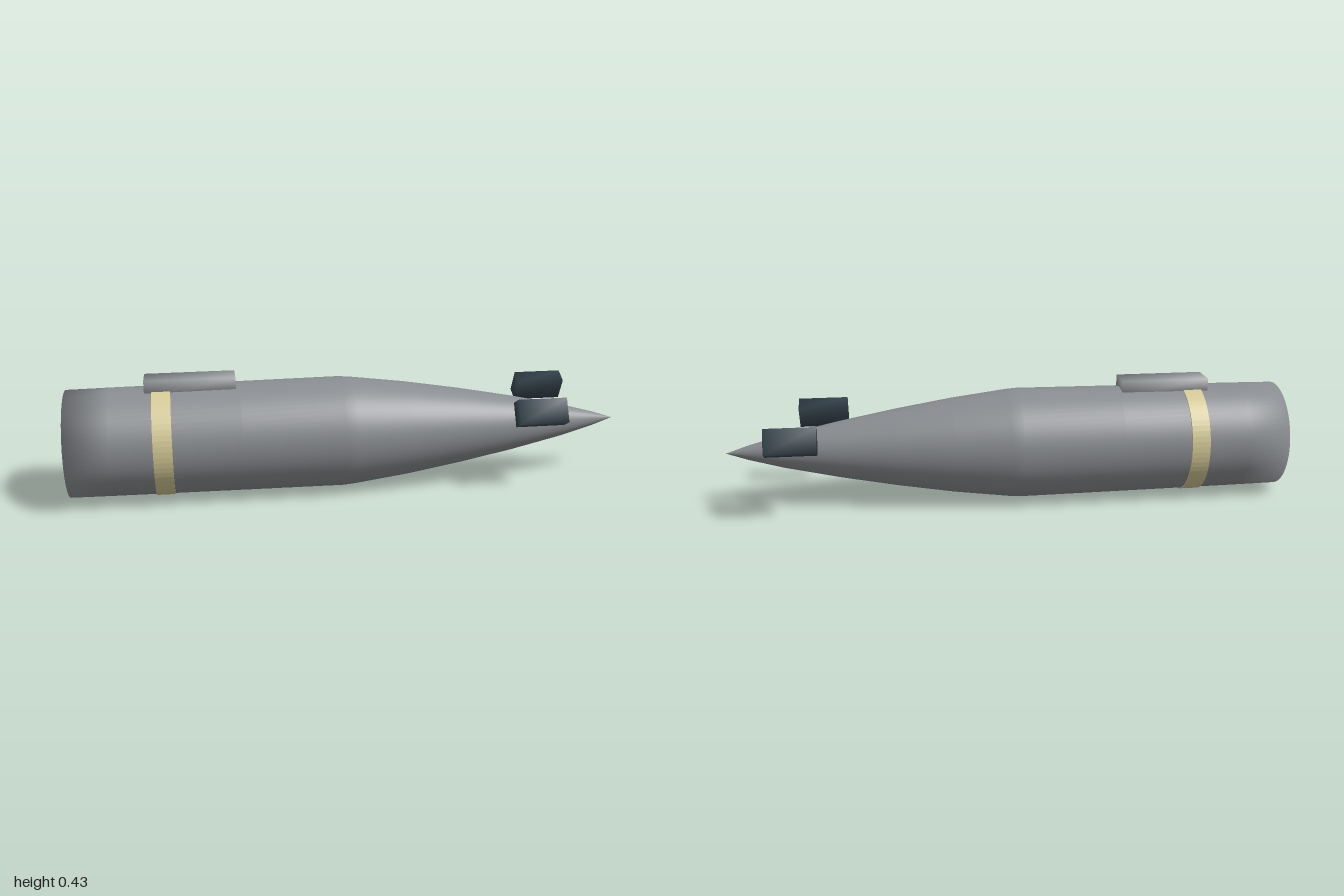
import * as THREE from 'three';
import { mergeVertices } from 'three/addons/utils/BufferGeometryUtils.js';

const AXIS_Y = 0.201;

// Box with normals shared across its edges, for soft shading
function softBox(w, h, d) {
  let g = new THREE.BoxGeometry(w, h, d);
  g.deleteAttribute('normal');
  g.deleteAttribute('uv');
  g = mergeVertices(g);
  g.computeVertexNormals();
  return g;
}

// Lathe whose axis lies along +x; profile pairs are [x, radius]
function turned(profile, segments) {
  const pts = profile.map(([x, r]) => new THREE.Vector2(r, x));
  return new THREE.LatheGeometry(pts, segments).rotateZ(-Math.PI / 2);
}

export function createModel() {
  const group = new THREE.Group();
  const grey = new THREE.MeshStandardMaterial({ color: 0x8b8e92 });
  grey.name = 'bodyGrey';
  const cream = new THREE.MeshStandardMaterial({ color: 0xd6cb98 });
  cream.name = 'bandCream';
  const slate = new THREE.MeshStandardMaterial({ color: 0x35434d });
  slate.name = 'finSlate';

  const add = (name, geometry, material, x, y, z) => {
    const mesh = new THREE.Mesh(geometry, material);
    mesh.name = name;
    mesh.position.set(x, y, z);
    group.add(mesh);
    return mesh;
  };

  // Slightly flared casing with a curved, pointed nose
  add('casing', turned([
    [-1, 0], [-1, 0.189], [-0.85, 0.191], [-0.4, 0.195], [-0.04, 0.198],
    [0, 0.195], [0.2, 0.17], [0.4, 0.138], [0.6, 0.101], [0.8, 0.058],
    [0.92, 0.026], [1, 0],
  ], 64), grey, 0, AXIS_Y, 0);

  // Painted ring near the tail
  const band = add('band', turned([
    [-0.703, 0.185], [-0.703, 0.196], [-0.638, 0.196], [-0.638, 0.185],
  ].map((p) => p), 64).toNonIndexed(), cream, 0, AXIS_Y, 0);
  band.geometry.computeVertexNormals();
  band.scale.z = 1.015;

  // Mounting lug on top
  add('topLug', softBox(0.315, 0.06, 0.1), grey, -0.57, 0.4, 0);

  // Staggered, tilted nose blocks on each side
  for (const [name, side, x] of [['rightBlock', 1, 0.66], ['leftBlock', -1, 0.758]]) {
    const block = add(name, softBox(0.177, 0.089, 0.058), slate, x, 0.29, side * 0.173);
    block.rotation.x = -side * THREE.MathUtils.degToRad(27.5);
  }
  return group;
}
